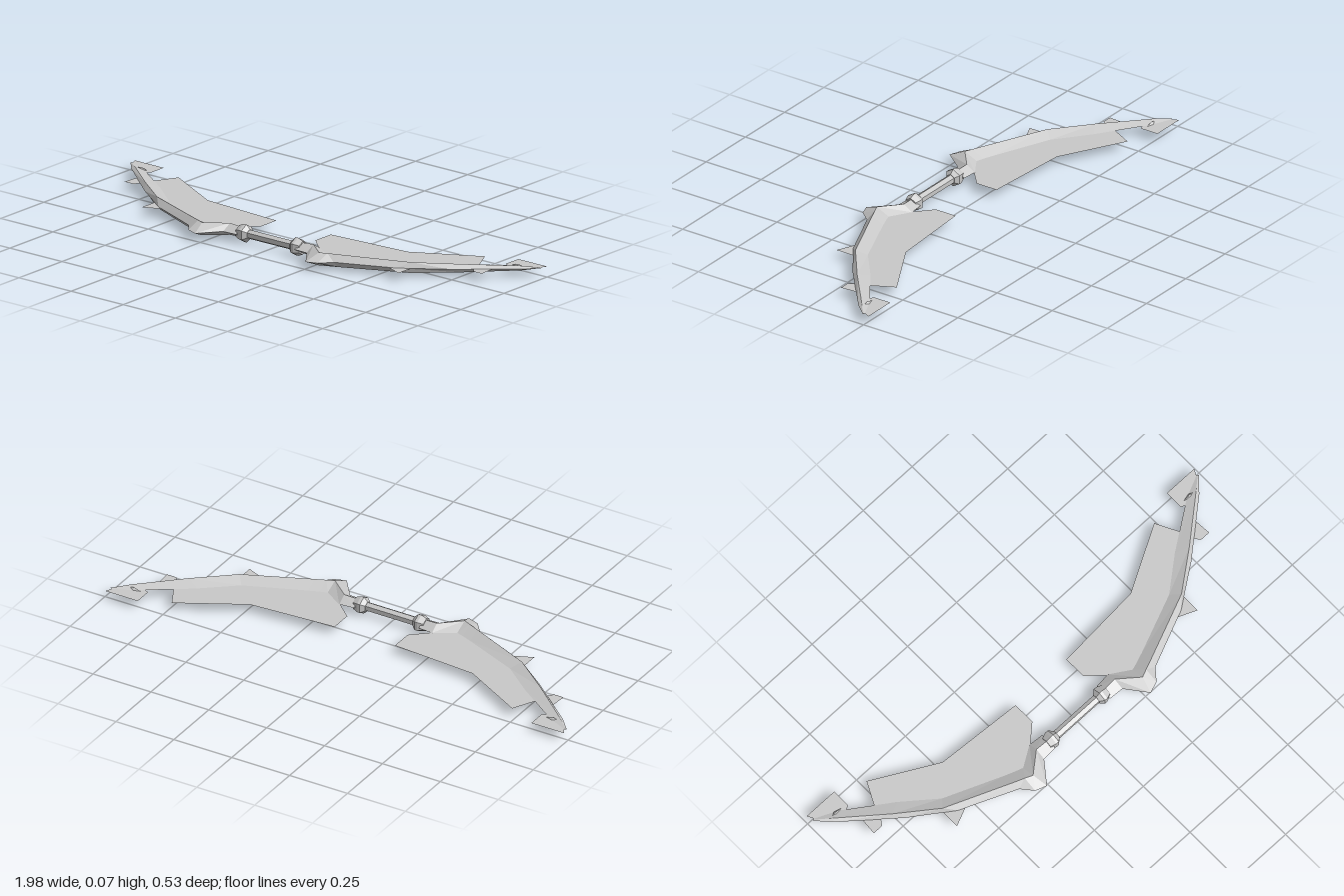
import * as THREE from 'three';

const MID = 0.037; // height of the flat middle plane
const GRIP_Z = 0.141;

export function createModel() {
  const root = new THREE.Group();
  root.name = 'bow';
  const metal = new THREE.MeshStandardMaterial({ color: 0xc8c8c8, flatShading: true });
  metal.name = 'paleSteel';
  const blade = new THREE.MeshStandardMaterial({ color: 0xc8c8c8, side: THREE.DoubleSide });
  blade.name = 'paleSteelSheet';

  const add = (parent, name, geometry, material) => {
    const mesh = new THREE.Mesh(geometry, material);
    mesh.name = name;
    parent.add(mesh);
    return mesh;
  };

  // Diamond-section limb; each row: outer x,z, ridge x,z, inner x,z, half height
  const stations = [
    [0.14, 0.175, 0.14, 0.14, 0.14, 0.105, 0.02],
    [0.20, 0.178, 0.20, 0.137, 0.20, 0.10, 0.023],
    [0.265, 0.262, 0.28, 0.203, 0.28, 0.15, 0.025],
    [0.31, 0.246, 0.31, 0.19, 0.31, 0.14, 0.025],
    [0.348, 0.20, 0.35, 0.174, 0.35, 0.125, 0.0245],
    [0.57, 0.105, 0.61, 0.065, 0.58, 0.03, 0.021],
    [0.73, -0.008, 0.76, -0.05, 0.71, -0.075, 0.016],
    [0.935, -0.18, 0.925, -0.188, 0.89, -0.20, 0.009],
    [0.985, -0.235, 0.982, -0.238, 0.978, -0.24, 0.001],
  ];
  const limbGeometry = (s) => {
    const rings = stations.map(([ox, oz, rx, rz, ix, iz, h]) => [
      [s * ox, MID, oz], [s * rx, MID + h, rz], [s * ix, MID, iz], [s * rx, MID - h, rz],
    ]);
    const pos = [];
    const tri = (a, b, c) => pos.push(...a, ...(s > 0 ? [...b, ...c] : [...c, ...b]));
    for (let i = 0; i < rings.length - 1; i++) {
      for (let k = 0; k < 4; k++) {
        const n = (k + 1) % 4;
        const a = rings[i][k], b = rings[i][n], c = rings[i + 1][n], d = rings[i + 1][k];
        tri(a, d, b);
        tri(d, c, b);
      }
    }
    const [first, last] = [rings[0], rings[rings.length - 1]];
    tri(first[0], first[1], first[2]);
    tri(first[0], first[2], first[3]);
    tri(last[0], last[2], last[1]);
    tri(last[0], last[3], last[2]);
    const g = new THREE.BufferGeometry();
    g.setAttribute('position', new THREE.Float32BufferAttribute(pos, 3));
    g.computeVertexNormals();
    return g;
  };

  // Flat sheets lying in the middle plane, as x,z outlines
  const sheets = {
    wingBlade: [[0.13, -0.048], [0.48, -0.072], [0.735, -0.212], [0.785, -0.115], [0.84, -0.13],
      [0.74, -0.04], [0.60, 0.065], [0.30, 0.17], [0.27, 0.165], [0.195, 0.10], [0.13, 0.042]],
    tipFin: [[0.99, -0.265], [0.85, -0.265], [0.85, -0.19], [0.90, -0.17], [0.97, -0.225]],
    middleBarb: [[0.53, 0.11], [0.615, 0.147], [0.615, 0.05]],
    outerBarb: [[0.79, -0.08], [0.815, -0.045], [0.857, -0.045], [0.85, -0.13]],
  };
  const sheetGeometry = (points, s) => {
    const shape = new THREE.Shape(points.map(([x, z]) => new THREE.Vector2(s * x, -z)));
    return new THREE.ShapeGeometry(shape).rotateX(-Math.PI / 2).translate(0, MID, 0);
  };

  // Six-sided grip, lying along x with an edge upward
  const grip = add(root, 'grip', new THREE.CylinderGeometry(0.018, 0.018, 0.26, 6, 1), metal);
  grip.rotation.z = Math.PI / 2;
  grip.rotation.order = 'XYZ';
  grip.geometry.rotateY(Math.PI / 6 * 3);
  grip.position.set(0, MID, GRIP_Z);

  // Collar profile as radius, distance from the centre
  const collarProfile = [[0, 0.102], [0.02, 0.102], [0.035, 0.118], [0.035, 0.13], [0.026, 0.152], [0, 0.152]]
    .map(([r, d]) => new THREE.Vector2(r, d));

  for (const s of [1, -1]) {
    const side = new THREE.Group();
    side.name = s > 0 ? 'leftArm' : 'rightArm';
    root.add(side);
    add(side, 'limb', limbGeometry(s), metal);
    for (const [name, points] of Object.entries(sheets)) add(side, name, sheetGeometry(points, s), blade);

    const collar = add(side, 'collar', new THREE.LatheGeometry(collarProfile, 6), metal);
    collar.geometry.rotateY(Math.PI / 2);
    collar.rotation.z = -s * Math.PI / 2;
    collar.position.set(0, MID, GRIP_Z);

    // Small string nock near the tip
    const nock = add(side, 'stringNock', new THREE.OctahedronGeometry(1), metal);
    nock.scale.set(0.03, 0.009, 0.008);
    nock.position.set(s * 0.905, MID, -0.2);
  }
  return root;
}
